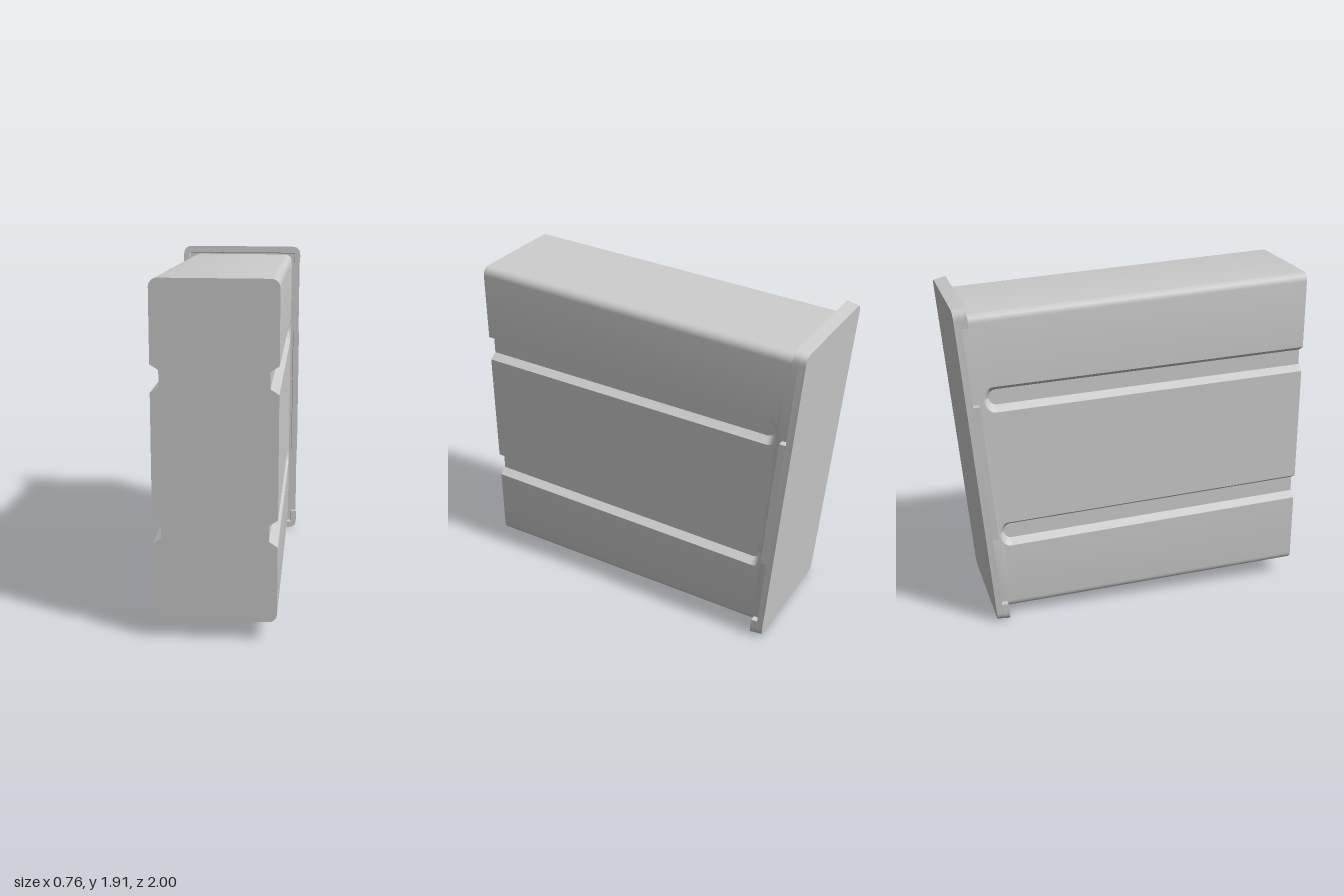
import * as THREE from 'three';
import { toCreasedNormals } from 'three/addons/utils/BufferGeometryUtils.js';

const material = new THREE.MeshStandardMaterial({ color: 0xcccccc });
const HALF = 0.325, RADIUS = 0.045, DEPTH = 0.045;
const lerp = THREE.MathUtils.lerp;

// Side grooves: centre height at the front and at the back, and where they end (0 front, 1 back)
const grooves = [
  { front: 0.60, back: 0.525, end: 0.967 },
  { front: 1.405, back: 1.337, end: 0.959 },
];

// Half-height of a round-ended slot at distance u from its end
function slotHalf(u, half, round) {
  const k = THREE.MathUtils.clamp(u / round, 0, 1);
  return half * Math.sqrt(1 - (1 - k) ** 2);
}

// Cross-section of the body at t (0 front face, 1 slanted back)
function section(t) {
  const right = [];
  const add = (x, front, back) =>
    right.push(new THREE.Vector3(x, lerp(front, back, t), lerp(1, -0.807 - 0.089 * back, t)));
  const corner = (front, back, dir, k) => {
    const a = k * Math.PI / 10;
    const dy = dir * RADIUS * (1 - Math.cos(a));
    add(HALF - RADIUS + RADIUS * Math.sin(a), front + dy, back + dy);
  };
  for (let k = 0; k <= 5; k++) corner(0.11, 0.055, 1, k);
  for (const g of grooves) {
    const u = (g.end - t) * 1.9;
    const outer = slotHalf(u, 0.073, 0.055);
    const inner = slotHalf(u - 0.03, 0.044, 0.04);
    const x = HALF - DEPTH * THREE.MathUtils.clamp(u / 0.03, 0, 1);
    for (const [px, dy] of [[HALF, -outer], [x, -inner], [x, inner], [HALF, outer]])
      add(px, g.front + dy, g.back + dy);
  }
  for (let k = 5; k >= 0; k--) corner(1.91, 1.815, -1, k);
  const left = right.map(p => new THREE.Vector3(-p.x, p.y, p.z)).reverse();
  return [...right, ...left];
}

function bodyGeometry() {
  // Stations gather around the rounded groove ends
  const stations = [0, 1];
  for (const g of grooves)
    for (const u of [0, 0.002, 0.008, 0.018, 0.03, 0.032, 0.038, 0.047, 0.055, 0.07])
      stations.push(g.end - u / 1.9);
  stations.sort((a, b) => a - b);
  const loops = stations.map(section);
  const n = loops[0].length;
  const positions = loops.flat().flatMap(p => p.toArray());
  const index = [];
  for (let i = 0; i < loops.length - 1; i++)
    for (let j = 0; j < n; j++) {
      const a = i * n + j, b = i * n + (j + 1) % n;
      index.push(a, a + n, b, b, a + n, b + n);
    }
  // Flat front face
  const outline = loops[0].map(p => new THREE.Vector2(p.x, p.y));
  for (const f of THREE.ShapeUtils.triangulateShape(outline, [])) index.push(...f);
  const geometry = new THREE.BufferGeometry();
  geometry.setAttribute('position', new THREE.Float32BufferAttribute(positions, 3));
  geometry.setIndex(index);
  return toCreasedNormals(geometry, 0.5);
}

const W = 0.372, H = 0.93, R = 0.055;   // lid half width, half height, corner radius
const PLATE = 0.036, RIM = 0.036, LEG = 0.036;

// Extrude a lid shape from z0, flaring slightly towards the body
function lidGeometry(shape, z0, depth) {
  const geometry = new THREE.ExtrudeGeometry(shape, { depth, bevelEnabled: false, curveSegments: 6 });
  geometry.translate(0, 0, z0);
  const p = geometry.attributes.position;
  for (let i = 0; i < p.count; i++) {
    const flare = 0.11 * p.getZ(i);
    p.setX(i, p.getX(i) + Math.sign(p.getX(i)) * flare);
    if (Math.abs(p.getY(i)) > H - 0.06) p.setY(i, p.getY(i) + Math.sign(p.getY(i)) * flare);
  }
  return toCreasedNormals(geometry, 0.5);
}

function plateShape() {
  const s = new THREE.Shape();
  s.moveTo(-W, -H + R).quadraticCurveTo(-W, -H, -W + R, -H);
  s.lineTo(W - R, -H).quadraticCurveTo(W, -H, W, -H + R);
  s.lineTo(W, H - R).quadraticCurveTo(W, H, W - R, H);
  s.lineTo(-W + R, H).quadraticCurveTo(-W, H, -W, H - R);
  return s;
}

// U-shaped rim around the top (dir 1) or bottom (dir -1) of the lid
function endRimShape(dir, legEnd) {
  const s = new THREE.Shape(), h = dir * H, r = dir * R, e = dir * legEnd;
  s.moveTo(W, e).lineTo(W, h - r).quadraticCurveTo(W, h, W - R, h);
  s.lineTo(-W + R, h).quadraticCurveTo(-W, h, -W, h - r);
  s.lineTo(-W, e).lineTo(-W + LEG, e).lineTo(-W + LEG, h - dir * 0.04);
  s.lineTo(W - LEG, h - dir * 0.04).lineTo(W - LEG, e);
  return s;
}

function sideRimShape(side) {
  const s = new THREE.Shape(), a = side * W, b = side * (W - LEG);
  s.moveTo(a, -0.402).lineTo(a, 0.395).lineTo(b, 0.395).lineTo(b, -0.402);
  return s;
}

export function createModel() {
  const model = new THREE.Group();
  const add = (parent, name, geometry) => {
    const mesh = new THREE.Mesh(geometry, material);
    mesh.name = name;
    parent.add(mesh);
  };
  add(model, 'groovedBody', bodyGeometry());

  // Tilted lid closing the back
  const lid = new THREE.Group();
  lid.name = 'lid';
  lid.position.set(0, 0.929, -0.917);
  lid.rotation.x = -0.0888;
  add(lid, 'lidPlate', lidGeometry(plateShape(), 0, PLATE));
  add(lid, 'topRim', lidGeometry(endRimShape(1, 0.835), PLATE, RIM));
  add(lid, 'bottomRim', lidGeometry(endRimShape(-1, 0.825), PLATE, RIM));
  add(lid, 'leftRim', lidGeometry(sideRimShape(1), PLATE, RIM));
  add(lid, 'rightRim', lidGeometry(sideRimShape(-1), PLATE, RIM));
  model.add(lid);
  return model;
}
